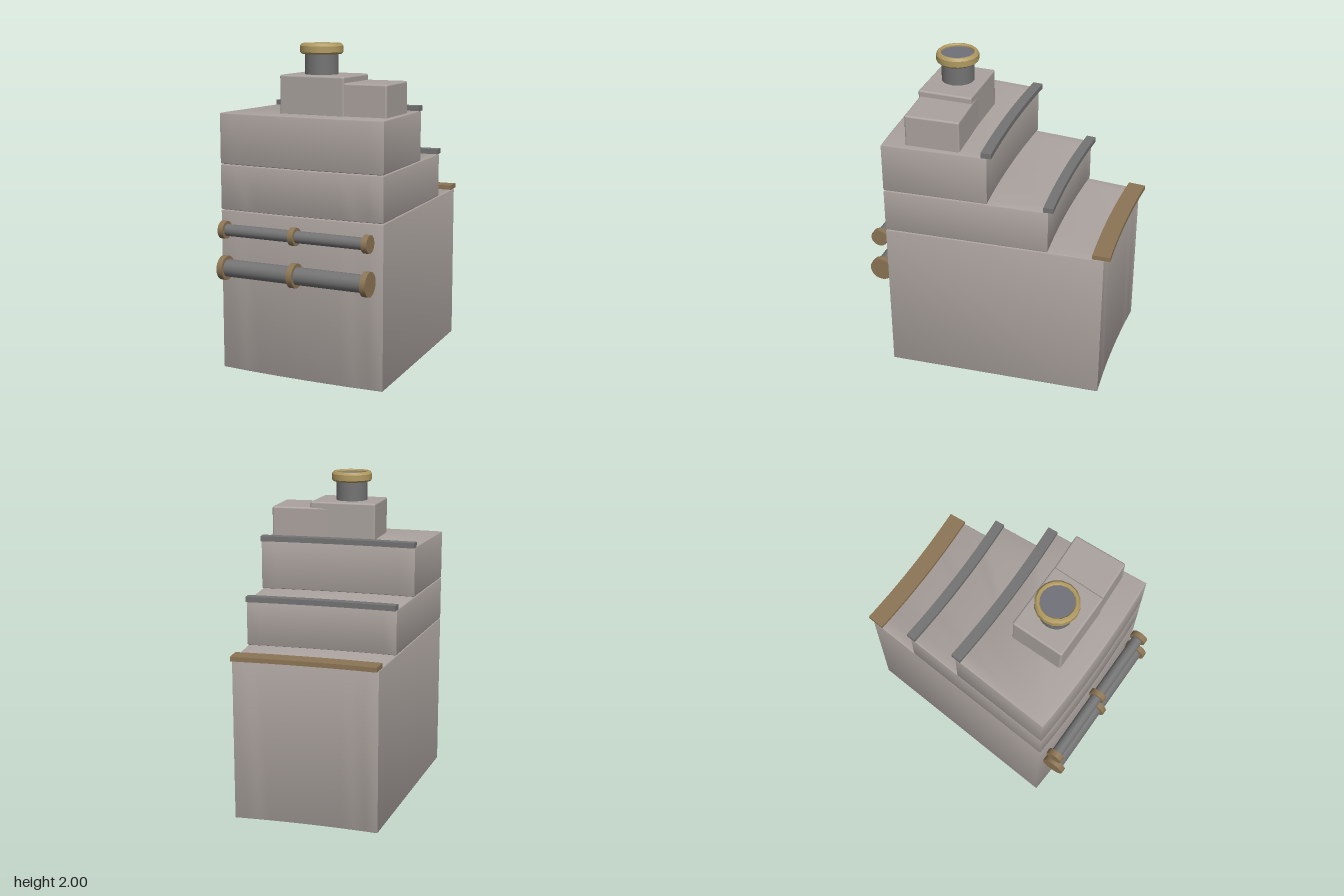
import * as THREE from 'three';
import { toCreasedNormals } from 'three/addons/utils/BufferGeometryUtils.js';
import { RoundedBoxGeometry } from 'three/addons/geometries/RoundedBoxGeometry.js';

const CENTRE_Z = -6.88; // common centre of all curved edges
const HALF_ANGLE = 0.072;

// Wedge-shaped ring sector between two z positions (on the centre line) and two heights
function sector(zBack, zFront, y0, y1, bevel) {
  const point = (z, t) => {
    const r = z - CENTRE_Z, a = t * HALF_ANGLE;
    return new THREE.Vector2(r * Math.sin(a), -(CENTRE_Z + r * Math.cos(a)));
  };
  const n = 12, pts = [];
  for (let i = 0; i <= n; i++) pts.push(point(zFront, -1 + 2 * i / n));
  for (let i = 0; i <= n; i++) pts.push(point(zBack, 1 - 2 * i / n));
  const geo = new THREE.ExtrudeGeometry(new THREE.Shape(pts), {
    depth: y1 - y0 - 2 * bevel, bevelEnabled: bevel > 0, bevelThickness: bevel,
    bevelSize: bevel, bevelOffset: -bevel, bevelSegments: 2,
  });
  geo.rotateX(-Math.PI / 2).translate(0, y0 + bevel, 0);
  return toCreasedNormals(geo, 0.5);
}

export function createModel() {
  const model = new THREE.Group();
  const paint = color => new THREE.MeshStandardMaterial({ color });
  const stone = paint(0xaaa29e), iron = paint(0x737373), bronze = paint(0x8c7555);
  const brass = paint(0xb09a62), glass = paint(0x70707a);

  const add = (name, geo, mat, x = 0, y = 0, z = 0, parent = model) => {
    const mesh = new THREE.Mesh(geo, mat);
    mesh.name = name;
    mesh.position.set(x, y, z);
    parent.add(mesh);
    return mesh;
  };

  // Three stacked tiers, stepping back
  add('lowerTier', sector(-0.715, 0.64, 0, 0.996, 0.008), stone);
  add('middleTier', sector(-0.375, 0.64, 0.998, 1.275, 0.008), stone);
  add('upperTier', sector(-0.005, 0.64, 1.277, 1.587, 0.008), stone);

  // Edge strips on the back of each tier
  add('lowerEdgeStrip', sector(-0.754, -0.645, 0.998, 1.026, 0), bronze);
  add('middleEdgeStrip', sector(-0.405, -0.345, 1.275, 1.307, 0), iron);
  add('upperEdgeStrip', sector(-0.033, 0.03, 1.585, 1.617, 0), iron);

  // Housings on top
  add('mainHousing', new RoundedBoxGeometry(0.425, 0.24, 0.337, 3, 0.012), stone, 0.0175, 1.697, 0.334);
  add('sideHousing', new RoundedBoxGeometry(0.43, 0.205, 0.335, 3, 0.012), stone, 0.272, 1.677, 0.326)
    .rotation.y = 0.045;

  // Chimney with a bevelled collar
  add('chimney', new THREE.CylinderGeometry(0.1, 0.1, 0.17, 24), iron, 0, 1.885, 0.334);
  const collar = [[0.1, 1.937], [0.118, 1.937], [0.13, 1.948], [0.13, 1.985],
    [0.118, 2], [0.106, 2], [0.1, 1.993], [0.1, 1.937]].map(p => new THREE.Vector2(...p));
  add('chimneyCollar', toCreasedNormals(new THREE.LatheGeometry(collar, 16), 0.5), brass, 0, 0, 0.334);
  add('chimneyTop', new THREE.CylinderGeometry(0.102, 0.102, 0.02, 24), glass, 0, 1.975, 0.334);

  // Horizontal pipes with three flanges each
  const pipe = (name, y, radius, flangeRadius) => {
    const group = new THREE.Group();
    group.name = name;
    group.position.set(0, y, 0.693);
    const rod = (part, r, length, mat, x) => add(part, new THREE.CylinderGeometry(r, r, length, 24)
      .rotateZ(Math.PI / 2), mat, x, 0, 0, group);
    rod('tube', radius, 0.96, iron, 0);
    for (const x of [-0.475, 0, 0.475]) rod('flange', flangeRadius, 0.036, bronze, x);
    model.add(group);
  };
  pipe('upperPipe', 0.89, 0.036, 0.054);
  pipe('lowerPipe', 0.656, 0.053, 0.074);

  return model;
}
